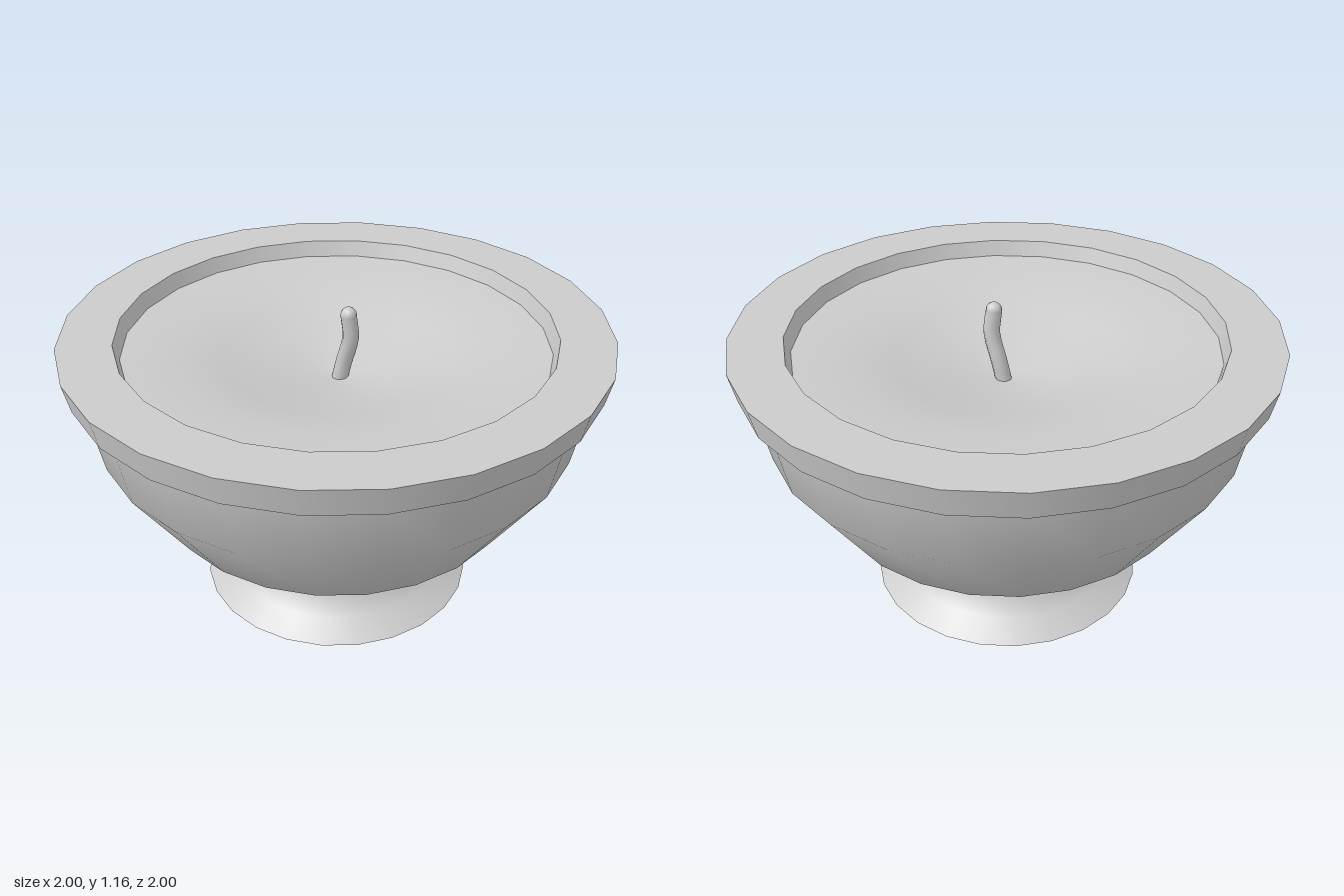
import * as THREE from 'three';

const SIDES = 24;
const material = new THREE.MeshStandardMaterial({ color: 0xcccccc });

// Each profile is revolved separately so the edges between bands stay sharp
function revolve(name, ...profiles) {
  const part = new THREE.Group();
  part.name = name;
  for (const profile of profiles) {
    const points = profile.map(([r, y]) => new THREE.Vector2(r, y));
    const mesh = new THREE.Mesh(new THREE.LatheGeometry(points, SIDES), material);
    mesh.name = name + 'Surface';
    part.add(mesh);
  }
  return part;
}

// Bent wick with a rounded tip
function makeWick() {
  const radius = 0.03;
  const path = new THREE.CatmullRomCurve3([
    new THREE.Vector3(0.008, 0.83, -0.006),
    new THREE.Vector3(0.027, 0.93, 0.006),
    new THREE.Vector3(0.047, 1.04, 0.03),
    new THREE.Vector3(0.038, 1.13, 0.033),
  ]);
  const wick = new THREE.Group();
  wick.name = 'wick';
  const stem = new THREE.Mesh(new THREE.TubeGeometry(path, 10, radius, 10), material);
  stem.name = 'wickStem';
  const tip = new THREE.Mesh(new THREE.SphereGeometry(radius, 10, 8), material);
  tip.name = 'wickTip';
  tip.position.copy(path.getPoint(1));
  wick.add(stem, tip);
  return wick;
}

export function createModel() {
  const model = new THREE.Group();
  model.name = 'bowlCandle';

  model.add(
    // Flared foot with a flat base
    revolve('foot',
      [[0, 0], [0.52, 0]],
      [[0.52, 0], [0.43, 0.06], [0.38, 0.115], [0.365, 0.18]]),
    // Bowl body
    revolve('bowl',
      [[0.3, 0.18], [0.365, 0.18]],
      [[0.365, 0.18], [0.68, 0.385], [0.885, 0.69], [0.935, 0.95]]),
    // Rim: underside, outer wall, flat top, inner wall
    revolve('rim',
      [[0.93, 0.95], [0.975, 0.95]],
      [[0.975, 0.95], [1, 1.06]],
      [[1, 1.06], [0.8, 1.06]],
      [[0.8, 1.06], [0.78, 1]]),
    // Wax surface dipping towards the wick
    revolve('wax',
      [[0.78, 1], [0.6, 0.99], [0.42, 0.955], [0.2, 0.885], [0, 0.86]]),
    makeWick(),
  );
  return model;
}
